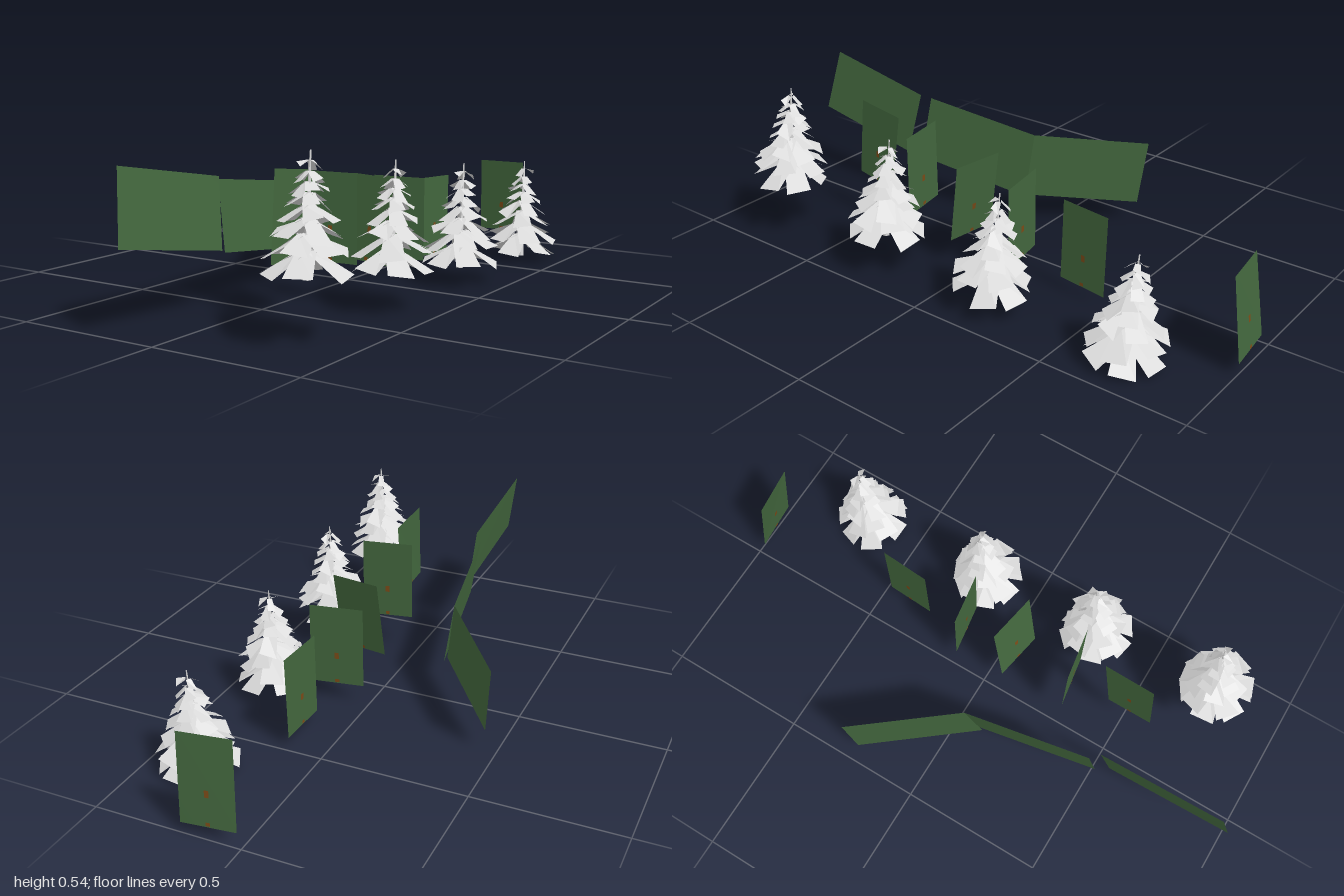
import * as THREE from 'three';

const leafGreen = new THREE.MeshStandardMaterial({ color: 0x42663d, side: THREE.DoubleSide });
leafGreen.name = 'hedge green';
const paleGrey = new THREE.MeshStandardMaterial({ color: 0xdadada, side: THREE.DoubleSide, flatShading: true });
paleGrey.name = 'pale grey';
const rust = new THREE.MeshStandardMaterial({ color: 0x7a4a18, side: THREE.DoubleSide });
rust.name = 'rust brown';

const V = (a) => new THREE.Vector3(...a);

// Flat four-cornered sheets, corners in loop order, merged into one geometry
function sheets(quads) {
  const pos = [], idx = [];
  quads.forEach((q, i) => {
    q.forEach((p) => pos.push(p.x, p.y, p.z));
    const k = i * 4;
    idx.push(k, k + 1, k + 2, k, k + 2, k + 3);
  });
  const g = new THREE.BufferGeometry();
  g.setAttribute('position', new THREE.Float32BufferAttribute(pos, 3));
  g.setIndex(idx);
  g.computeVertexNormals();
  return g;
}

function add(parent, geo, mat, name) {
  const m = new THREE.Mesh(geo, mat);
  m.name = name;
  parent.add(m);
  return m;
}

// Hedge panel: bottom start, bottom end, top end, top start
function hedge(parent, corners, name, berries) {
  const q = corners.map(V);
  const group = new THREE.Group();
  group.name = name;
  parent.add(group);
  add(group, sheets([q]), leafGreen, 'hedgeSheet');
  if (!berries) return;
  const at = (u, v) => q[0].clone().lerp(q[1], u).lerp(q[3].clone().lerp(q[2], u), v);
  const n = q[1].clone().sub(q[0]).cross(q[3].clone().sub(q[0])).normalize();
  const dots = [];
  for (const v of [0.035, 0.37]) for (const s of [-0.002, 0.002]) {
    const h = v < 0.1 ? 0.02 : 0.04;
    dots.push([[0.46, v - h], [0.54, v - h], [0.54, v + h], [0.46, v + h]]
      .map(([a, b]) => at(a, b).addScaledVector(n, s)));
  }
  add(group, sheets(dots), rust, 'berries');
}

// Tree geometry: tiers are [inner y, outer y, outer radius, half width, cards]
const TIERS = [
  [0.085, 0.018, 0.128, 0.042, 6],
  [0.130, 0.070, 0.118, 0.040, 6],
  [0.172, 0.118, 0.100, 0.034, 6],
  [0.210, 0.165, 0.082, 0.029, 5],
  [0.243, 0.205, 0.066, 0.025, 5],
  [0.273, 0.242, 0.052, 0.021, 5],
  [0.302, 0.277, 0.042, 0.017, 4],
  [0.332, 0.312, 0.038, 0.013, 3],
];
function foliage() {
  let seed = 11;
  const rnd = () => (seed = (seed * 16807) % 2147483647) / 2147483647 - 0.5;
  const quads = [];
  TIERS.forEach(([yi, yo, r, w, n], t) => {
    for (let i = 0; i < n; i++) {
      const a = (i / n) * Math.PI * 2 + t * 2.4 + rnd() * 0.3;
      const R = r * (1 + rnd() * 0.2), dy = rnd() * 0.024, roll = rnd() * 0.02;
      const out = new THREE.Vector3(Math.cos(a), 0, Math.sin(a));
      const side = new THREE.Vector3(-Math.sin(a), 0, Math.cos(a));
      const p = (rad, s, y) => out.clone().multiplyScalar(rad).addScaledVector(side, s).setY(y);
      quads.push([
        p(0.006, w * 0.65, yi), p(0.006, -w * 0.65, yi),
        p(R, -w, yo + dy - roll), p(R, w, yo + dy + roll),
      ]);
    }
  });
  return sheets(quads);
}

export function createModel() {
  const model = new THREE.Group();
  model.name = 'treesAndHedges';

  // Row of four trees stepping downhill
  const leaves = foliage();
  const trunkGeo = new THREE.CylinderGeometry(0.002, 0.013, 0.36, 6).translate(0, 0.18, 0);
  [[0.735, 0.176, 0], [0.275, 0.103, 1.3], [-0.185, 0.046, 0.3], [-0.69, 0.002, 2.6]].forEach(([z, y, yaw], i) => {
    const lean = new THREE.Group();
    lean.name = 'tree' + (i + 1);
    lean.position.set(0.333, y, z);
    lean.rotation.set(-0.09, 0, 0.015);
    const tree = new THREE.Group();
    tree.name = 'treeBody';
    tree.rotation.y = yaw;
    lean.add(tree);
    add(tree, trunkGeo, paleGrey, 'trunk');
    add(tree, leaves, paleGrey, 'branches');
    model.add(lean);
  });

  // Small hedges crossing the slope
  hedge(model, [[0.021, 0.037, -0.984], [0.2, 0.033, -1], [0.211, 0.322, -0.968], [0.037, 0.325, -0.947]], 'backHedge', true);
  hedge(model, [[0.022, 0.062, -0.13], [0.207, 0.06, -0.158], [0.207, 0.35, -0.158], [0.022, 0.352, -0.13]], 'middleHedge', true);
  hedge(model, [[0.026, 0.09, 0.06], [0.206, 0.085, 0.092], [0.218, 0.372, 0.048], [0.037, 0.375, 0.016]], 'leaningHedge', true);
  hedge(model, [[0.025, 0.126, 0.305], [0.208, 0.122, 0.277], [0.208, 0.414, 0.277], [0.028, 0.416, 0.305]], 'frontHedge', true);

  // Small hedges along the slope
  hedge(model, [[0.113, 0.17, 0.602], [0.122, 0.144, 0.437], [0.121, 0.433, 0.393], [0.11, 0.454, 0.575]], 'frontSideHedge', true);
  hedge(model, [[0.113, 0.04, -0.302], [0.126, 0.031, -0.48], [0.127, 0.32, -0.487], [0.112, 0.326, -0.308]], 'backSideHedge', true);

  // Long hedge wall in three lengths
  hedge(model, [[-0.459, 0.071, -0.24], [-0.193, 0.102, 0.11], [-0.231, 0.335, 0.063], [-0.478, 0.304, -0.265]], 'wallHedgeBack');
  hedge(model, [[-0.193, 0.102, 0.076], [-0.128, 0.166, 0.519], [-0.168, 0.394, 0.497], [-0.231, 0.335, 0.063]], 'wallHedgeMiddle');
  hedge(model, [[-0.104, 0.182, 0.561], [-0.114, 0.257, 1], [-0.154, 0.484, 0.955], [-0.142, 0.408, 0.524]], 'wallHedgeFront');

  return model;
}
